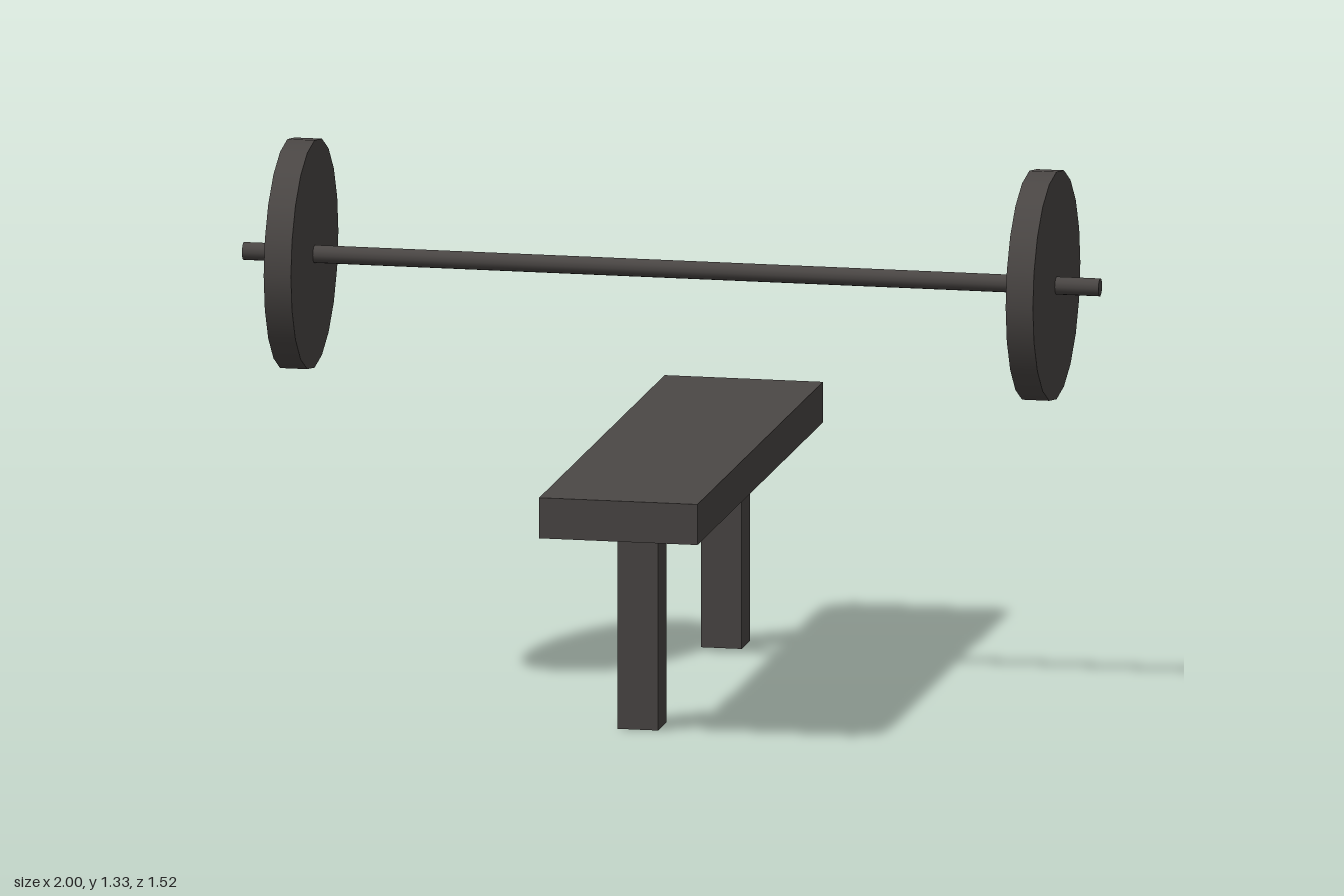
import * as THREE from 'three';

export function createModel() {
  const model = new THREE.Group();
  const darkGrey = new THREE.MeshStandardMaterial({ color: 0x4c4846 });
  const turn = -Math.PI / 9; // whole set stands turned by 20 degrees

  const add = (parent, name, geometry, x, y, z) => {
    const mesh = new THREE.Mesh(geometry, darkGrey);
    mesh.name = name;
    mesh.position.set(x, y, z);
    parent.add(mesh);
  };
  // Cylinder lying along x
  const rod = (radius, length, sides) =>
    new THREE.CylinderGeometry(radius, radius, length, sides).rotateZ(Math.PI / 2);

  // Bench: flat board on two square legs
  const bench = new THREE.Group();
  bench.name = 'bench';
  bench.position.set(0.035, 0, 0);
  bench.rotation.y = turn;
  add(bench, 'benchBoard', new THREE.BoxGeometry(0.39, 0.1, 1.48), 0, 0.56, 0);
  add(bench, 'frontLeg', new THREE.BoxGeometry(0.1, 0.51, 0.1), 0, 0.255, 0.46);
  add(bench, 'backLeg', new THREE.BoxGeometry(0.1, 0.51, 0.1), 0, 0.255, -0.525);

  // Barbell: bar with one weight plate near each end
  const barbell = new THREE.Group();
  barbell.name = 'barbell';
  barbell.position.set(0, 1.05, 0.09);
  barbell.rotation.y = turn;
  add(barbell, 'bar', rod(0.022, 2.11, 12), 0, 0, 0);
  for (const [name, side] of [['leftPlate', 1], ['rightPlate', -1]]) {
    add(barbell, name, rod(0.28, 0.067, 20), side * 0.914, 0, 0);
  }

  model.add(bench, barbell);
  return model;
}
